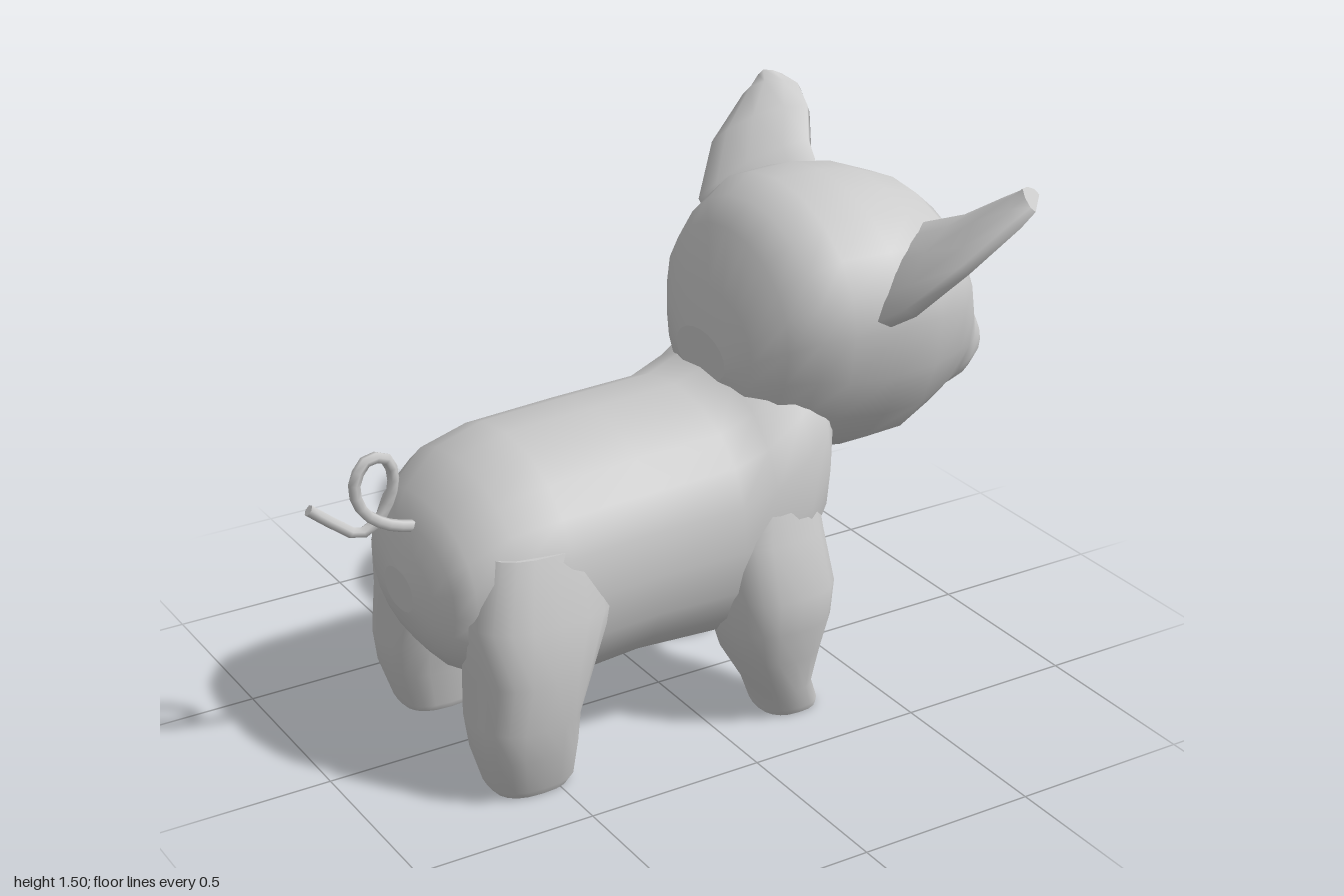
import * as THREE from 'three';

const V = (x, y, z) => new THREE.Vector3(x, y, z);
const SIDES = 20;

// Skin a closed surface over a list of rings; ends are closed to their centres.
function loft(rings) {
  const n = rings[0].length, pos = [], idx = [];
  rings.forEach(r => r.forEach(p => pos.push(p.x, p.y, p.z)));
  for (let i = 0; i < rings.length - 1; i++) {
    for (let j = 0; j < n; j++) {
      const a = i * n + j, b = i * n + (j + 1) % n;
      idx.push(a, b, b + n, a, b + n, a + n);
    }
  }
  [0, rings.length - 1].forEach(i => {
    const c = V(0, 0, 0), start = pos.length / 3;
    rings[i].forEach(p => { c.addScaledVector(p, 1 / n); pos.push(p.x, p.y, p.z); });
    pos.push(c.x, c.y, c.z);
    for (let j = 0; j < n; j++) {
      const a = start + j, b = start + (j + 1) % n;
      if (i === 0) idx.push(start + n, b, a); else idx.push(start + n, a, b);
    }
  });
  // Turn the surface outward when its signed volume is negative
  const at = i => V(pos[3 * i], pos[3 * i + 1], pos[3 * i + 2]);
  let volume = 0;
  for (let i = 0; i < idx.length; i += 3) volume += at(idx[i]).dot(at(idx[i + 1]).cross(at(idx[i + 2])));
  if (volume < 0) idx.reverse();
  const g = new THREE.BufferGeometry();
  g.setAttribute('position', new THREE.Float32BufferAttribute(pos, 3));
  g.setIndex(idx);
  g.computeVertexNormals();
  return g;
}

const soft = (v, p) => Math.sign(v) * Math.abs(v) ** p;

// Upright ring at x: from y0 to y1, widest (w) at height ym
function trunkRing([x, y0, y1, w, ym = (y0 + y1) / 2], p) {
  return Array.from({ length: SIDES }, (_, i) => {
    const a = (i / SIDES) * Math.PI * 2, s = soft(Math.sin(a), p);
    return V(x, ym + s * (s > 0 ? y1 - ym : ym - y0), w * soft(Math.cos(a), p));
  });
}

// Level ring at y, with a small cleft at the front of the hoof
function legRing([y, x0, x1, z0, z1], side) {
  return Array.from({ length: SIDES }, (_, i) => {
    const a = (i / SIDES) * Math.PI * 2;
    const cleft = i === 0 && y < 0.06 ? 0.035 : 0;
    return V((x0 + x1) / 2 + (x1 - x0) / 2 * soft(Math.cos(a), 0.8) - cleft, y,
      side * ((z0 + z1) / 2 + (z1 - z0) / 2 * soft(Math.sin(a), 0.8)));
  });
}

// Ear ring between its back edge B and front edge F, hollow on the inner side
function earRing([B, F, t, hollow], side) {
  const b = V(...B), f = V(...F), out = V(-0.67, 0.7, -0.22);
  return [[0, 0], [0.03, -t], [0.14, -t], [0.3, hollow - t], [0.5, hollow * 1.3 - t], [0.7, hollow - t],
    [0.86, -t], [0.97, -t], [1, 0], [0.8, 0.025], [0.5, 0.04], [0.2, 0.025]].map(([u, d]) => {
    const q = b.clone().lerp(f, u).addScaledVector(out, d);
    q.z *= side;
    return q;
  });
}

export function createModel() {
  const group = new THREE.Group();
  const mat = new THREE.MeshStandardMaterial({ color: 0xcccccc });
  const add = (name, geo) => {
    const m = new THREE.Mesh(geo, mat);
    m.name = name;
    group.add(m);
  };

  // Barrel body rising into the neck: x, bottom, top, half width
  add('body', loft([
    [-0.78, 0.45, 0.56, 0.08], [-0.765, 0.40, 0.62, 0.17], [-0.74, 0.35, 0.68, 0.24],
    [-0.70, 0.30, 0.74, 0.29], [-0.60, 0.24, 0.83, 0.335], [-0.46, 0.19, 0.87, 0.355],
    [-0.20, 0.215, 0.88, 0.36], [0.05, 0.20, 0.89, 0.36], [0.15, 0.21, 0.93, 0.37],
    [0.25, 0.27, 1.0, 0.37], [0.33, 0.41, 1.0, 0.33], [0.39, 0.60, 1.0, 0.25],
  ].map(s => trunkRing(s, 0.88))));

  // Head with tapering snout: x, bottom, top, half width, height of widest point
  add('head', loft([
    [0.13, 0.89, 1.03, 0.12, 0.96], [0.155, 0.80, 1.15, 0.21, 1.0], [0.21, 0.74, 1.30, 0.30, 1.05],
    [0.28, 0.70, 1.36, 0.35, 1.08], [0.36, 0.66, 1.41, 0.385, 1.09], [0.50, 0.635, 1.41, 0.41, 1.1],
    [0.62, 0.64, 1.39, 0.405, 1.1], [0.74, 0.69, 1.345, 0.35, 1.08], [0.81, 0.725, 1.285, 0.295, 1.03],
    [0.855, 0.735, 1.12, 0.245, 0.94], [0.92, 0.75, 1.02, 0.175, 0.89], [0.965, 0.77, 0.96, 0.13, 0.87],
    [0.998, 0.86, 0.92, 0.07, 0.89],
  ].map(s => trunkRing(s, 1))));

  // Legs: y, back, front, inner, outer
  const frontLeg = [
    [0, 0.16, 0.325, 0.18, 0.34], [0.02, 0.15, 0.325, 0.17, 0.35], [0.09, 0.125, 0.295, 0.16, 0.37],
    [0.2, 0.06, 0.315, 0.13, 0.40], [0.3, 0.03, 0.34, 0.11, 0.42], [0.4, 0.02, 0.348, 0.09, 0.43],
    [0.55, 0.02, 0.33, 0.08, 0.39], [0.68, 0.06, 0.32, 0.08, 0.35],
  ];
  const backLeg = [
    [0, -0.66, -0.45, 0.18, 0.34], [0.02, -0.675, -0.435, 0.17, 0.35], [0.13, -0.71, -0.43, 0.15, 0.385],
    [0.22, -0.72, -0.425, 0.13, 0.40], [0.35, -0.71, -0.38, 0.1, 0.41], [0.5, -0.72, -0.31, 0.1, 0.39],
    [0.67, -0.66, -0.32, 0.1, 0.33],
  ];
  // Ears: back edge, front edge, rim thickness, depth of hollow
  const ear = [
    [[0.42, 1.10, 0.35], [0.66, 1.30, 0.23], 0.04, 0.02],
    [[0.43, 1.19, 0.49], [0.71, 1.355, 0.36], 0.04, 0.035],
    [[0.53, 1.315, 0.58], [0.765, 1.42, 0.45], 0.035, 0.035],
    [[0.66, 1.425, 0.62], [0.785, 1.46, 0.53], 0.03, 0.02],
    [[0.71, 1.455, 0.625], [0.76, 1.48, 0.575], 0.02, 0],
  ];
  for (const [label, side] of [['left', 1], ['right', -1]]) {
    // The animal faces +x, so its sides are named near (+z) and far (-z) by the front
    const where = label === 'left' ? 'Near' : 'Far';
    add('frontLeg' + where, loft(frontLeg.map(s => legRing(s, side))));
    add('backLeg' + where, loft(backLeg.map(s => legRing(s, side))));
    add('ear' + where, loft(ear.map(s => earRing(s, side))));
  }

  // Curly tail
  const curl = new THREE.CatmullRomCurve3([
    V(-0.70, 0.67, 0.01), V(-0.80, 0.695, 0), V(-0.87, 0.75, 0), V(-0.888, 0.82, -0.005),
    V(-0.85, 0.88, -0.01), V(-0.79, 0.868, -0.02), V(-0.77, 0.80, -0.025), V(-0.80, 0.71, -0.035),
    V(-0.86, 0.665, -0.045), V(-0.92, 0.70, -0.06), V(-0.987, 0.753, -0.07),
  ]);
  const frames = curl.computeFrenetFrames(24);
  add('tail', loft(Array.from({ length: 25 }, (_, i) => Array.from({ length: 6 }, (_, j) => {
    const a = (j / 6) * Math.PI * 2;
    return curl.getPointAt(i / 24)
      .addScaledVector(frames.normals[i], 0.016 * Math.cos(a))
      .addScaledVector(frames.binormals[i], 0.016 * Math.sin(a));
  }))));

  return group;
}
